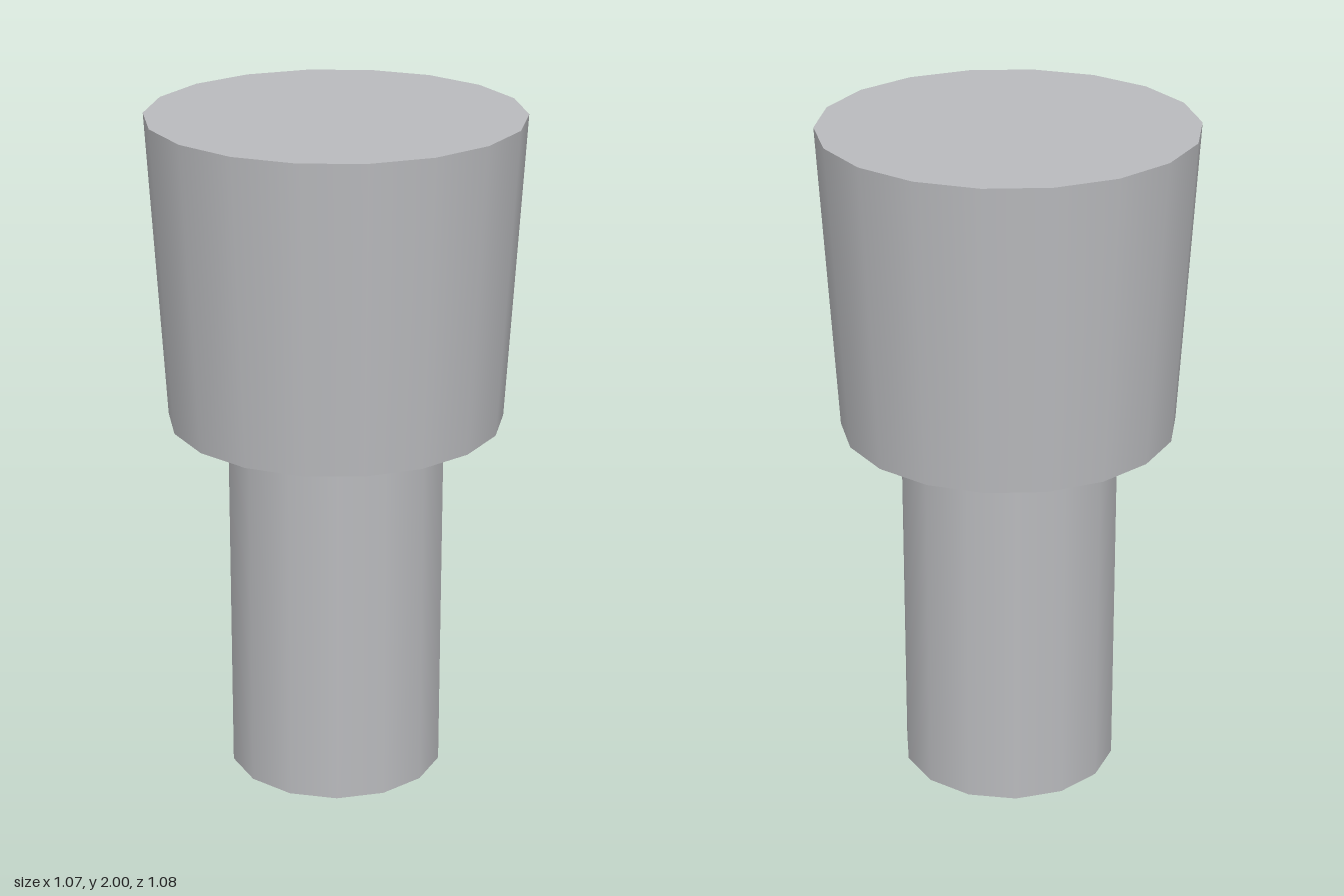
import * as THREE from 'three';

export function createModel() {
  const group = new THREE.Group();
  const grey = new THREE.MeshStandardMaterial({ color: 0xb9babd });
  grey.name = 'plain grey';

  // Closed, smooth-sided round part standing between two heights
  const addRound = (name, topRadius, bottomRadius, y0, y1, sides) => {
    const geometry = new THREE.CylinderGeometry(topRadius, bottomRadius, y1 - y0, sides);
    const mesh = new THREE.Mesh(geometry, grey);
    mesh.name = name;
    mesh.position.y = (y0 + y1) / 2;
    group.add(mesh);
  };

  // Straight lower shaft
  addRound('shaft', 0.321, 0.321, 0, 1.1, 14);
  // Wider head, flaring towards the top
  addRound('head', 0.541, 0.49, 1.1, 2, 18);

  return group;
}
